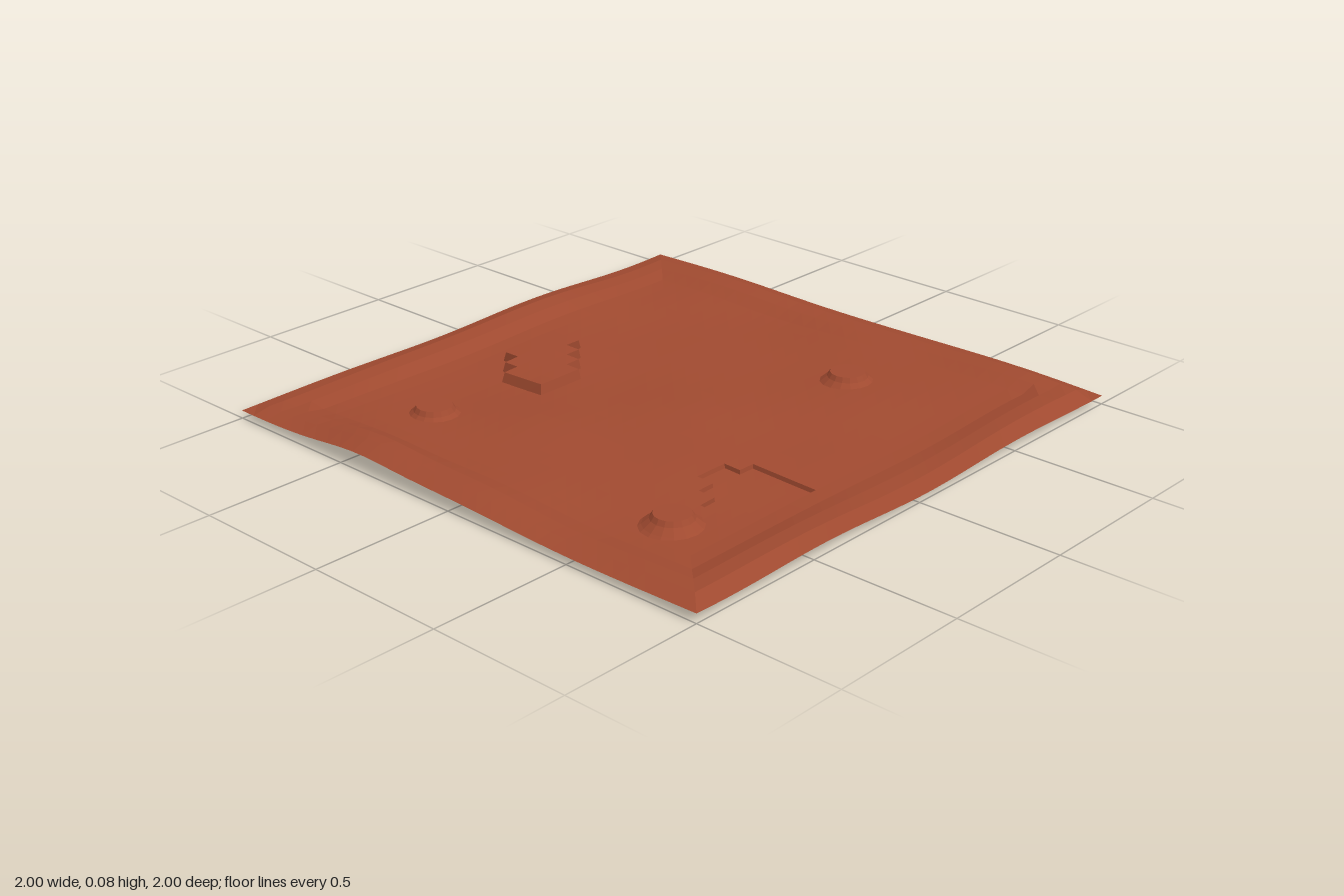
import * as THREE from 'three';

const N = 32, STEP = 2 / N;
const material = new THREE.MeshStandardMaterial({
  color: 0xa04a30, flatShading: true, side: THREE.DoubleSide,
});

// Stepped patches: per grid row, the [first, last) columns they cover
const mesa = {
  name: 'raisedMesa', lift: 0.033, scale: 0.94, cx: -0.53, cz: 0.06,
  rows: { 14: [5, 7], 15: [5, 8], 16: [5, 9], 17: [5, 10], 18: [6, 10], 19: [7, 10] },
};
const pit = {
  name: 'sunkenPit', lift: -0.014, scale: 0.98, cx: 0.6, cz: 0.33,
  rows: { 19: [24, 28], 20: [23, 28], 21: [23, 28], 22: [24, 28], 23: [25, 27] },
};
const inside = (patch, i, j) => {
  const span = patch.rows[j];
  return !!span && i >= span[0] && i < span[1];
};

const bump = (d, width) => Math.exp(-(d * d) / (width * width));

// Rolling ground with a low ridge just inside the border
function height(x, z) {
  const edge = 1 - Math.max(Math.abs(x), Math.abs(z));
  const roll = 0.006 * Math.sin(4.3 * x + 1.7 * z + 0.6)
    + 0.005 * Math.sin(6.1 * z - 2.2 * x + 1.1)
    + 0.003 * Math.sin(9.5 * x + 0.8) * Math.cos(7.7 * z);
  const ridge = (0.024 + 0.006 * Math.sin(5 * x - 4 * z)) * bump(edge - 0.085, 0.07);
  const hump = 0.024 * bump(x + 0.43, 0.2) * bump(z - 0.94, 0.1);
  const swell = 0.014 * bump(x + 0.1, 0.4) * bump(z - 0.42, 0.14);
  return 0.028 + roll + ridge + hump + swell;
}

const ground = (i, j) => {
  const x = -1 + i * STEP, z = -1 + j * STEP;
  return [x, height(x, z), z];
};
const shifted = (patch) => (i, j) => {
  const [x, y, z] = ground(i, j);
  return [
    patch.cx + (x - patch.cx) * patch.scale,
    y + patch.lift,
    patch.cz + (z - patch.cz) * patch.scale,
  ];
};

function quad(out, a, b, c, d) {
  out.push(...a, ...b, ...c, ...a, ...c, ...d);
}
function cell(out, point, i, j) {
  quad(out, point(i, j), point(i, j + 1), point(i + 1, j + 1), point(i + 1, j));
}
function meshFrom(name, positions) {
  const g = new THREE.BufferGeometry();
  g.setAttribute('position', new THREE.Float32BufferAttribute(positions, 3));
  g.computeVertexNormals();
  const m = new THREE.Mesh(g, material);
  m.name = name;
  return m;
}

// Open ground, leaving out the cells of the two patches
function terrain() {
  const out = [];
  for (let j = 0; j < N; j++) {
    for (let i = 0; i < N; i++) {
      if (!inside(mesa, i, j) && !inside(pit, i, j)) cell(out, ground, i, j);
    }
  }
  return meshFrom('terrain', out);
}

// Floor of a patch and the walls joining it to the ground
function patchMesh(patch) {
  const out = [], top = shifted(patch);
  const wall = (i0, j0, i1, j1) =>
    quad(out, ground(i0, j0), ground(i1, j1), top(i1, j1), top(i0, j0));
  for (let j = 0; j < N; j++) {
    for (let i = 0; i < N; i++) {
      if (!inside(patch, i, j)) continue;
      cell(out, top, i, j);
      if (!inside(patch, i - 1, j)) wall(i, j, i, j + 1);
      if (!inside(patch, i + 1, j)) wall(i + 1, j + 1, i + 1, j);
      if (!inside(patch, i, j - 1)) wall(i + 1, j, i, j);
      if (!inside(patch, i, j + 1)) wall(i, j + 1, i + 1, j + 1);
    }
  }
  return meshFrom(patch.name, out);
}

// Flared mound with a flat top, open underneath
function mound(x, y, z) {
  const profile = [[0.12, 0], [0.093, 0.017], [0.07, 0.036], [0.06, 0.052], [0, 0.052]]
    .map(([r, h]) => new THREE.Vector2(r, h));
  const m = new THREE.Mesh(new THREE.LatheGeometry(profile, 16), material);
  m.name = 'mound';
  m.position.set(x, y, z);
  return m;
}

export function createModel() {
  const group = new THREE.Group();
  group.name = 'terrainTile';
  group.add(terrain(), patchMesh(mesa), patchMesh(pit));
  group.add(mound(-0.53, 0, 0.58), mound(0.58, 0.008, 0.64), mound(0.3, 0.012, -0.53));
  return group;
}
